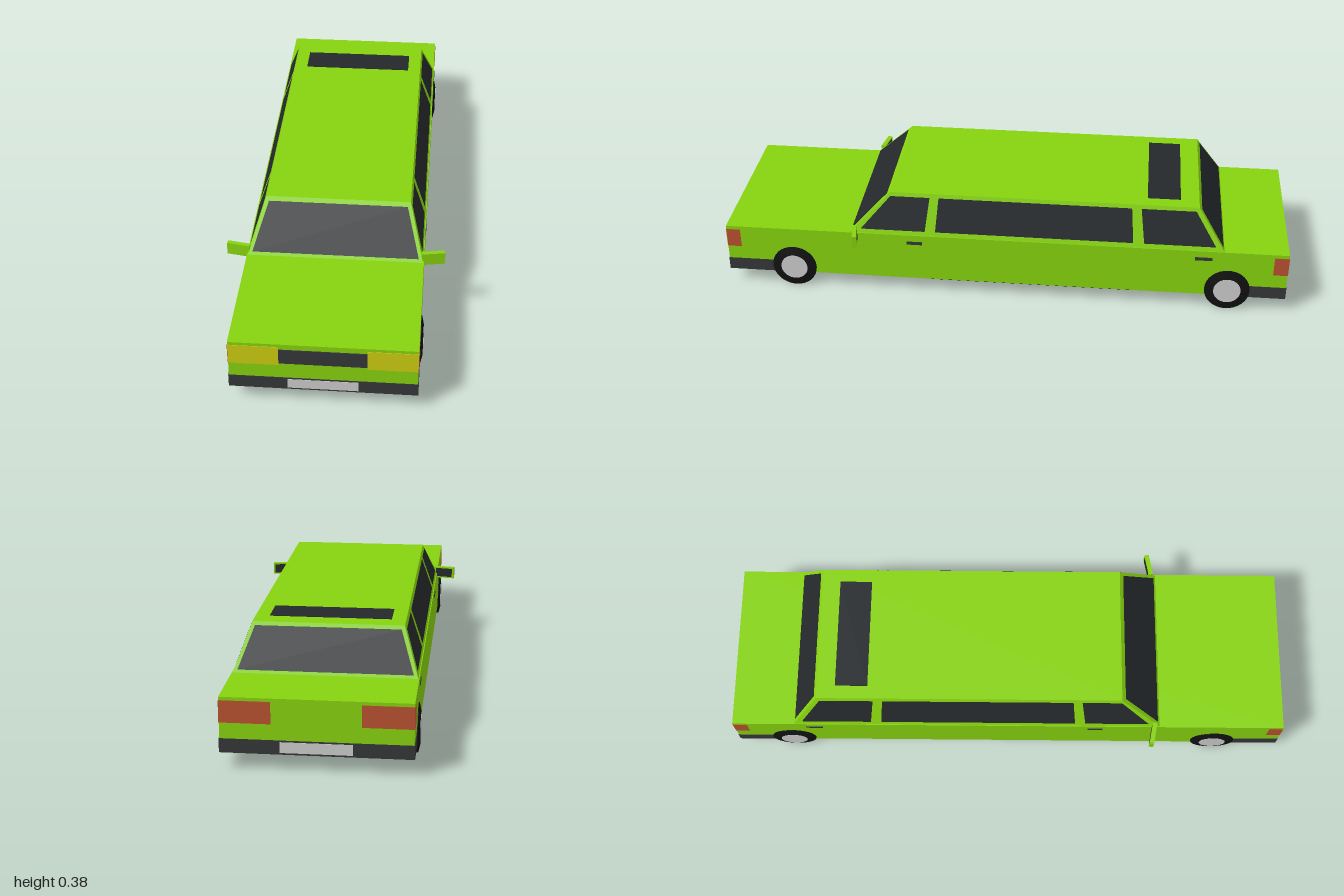
import * as THREE from 'three';

const mat = (color, side = THREE.FrontSide) =>
  new THREE.MeshStandardMaterial({ color, side, flatShading: true });
const PAINT = mat(0x86d20e);
const GLASS = mat(0x24282b, THREE.DoubleSide);
const TRIM = mat(0x343638);
const RUBBER = mat(0x111111);
const METAL = mat(0xbcbcbc);
const YELLOW = mat(0xcccc10);
const RED = mat(0xb8502f);

// Cabin: base and roof outlines, joined by sloping sides
const BASE = { y: 0.235, x: 0.297, front: 0.55, back: -0.775 };
const ROOF = { y: 0.38, x: 0.247, front: 0.405, back: -0.68 };
const GAP = 0.0015;
const along = (key, y) =>
  THREE.MathUtils.mapLinear(y, BASE.y, ROOF.y, BASE[key], ROOF[key]);

function add(parent, name, geometry, material) {
  const mesh = new THREE.Mesh(geometry, material);
  mesh.name = name;
  parent.add(mesh);
  return mesh;
}

// Box given by its lower and upper limits
function block(parent, name, material, [x0, x1], [y0, y1], [z0, z1]) {
  const mesh = add(parent, name, new THREE.BoxGeometry(x1 - x0, y1 - y0, z1 - z0), material);
  mesh.position.set((x0 + x1) / 2, (y0 + y1) / 2, (z0 + z1) / 2);
  return mesh;
}

// Flat faces from lists of four corners, anticlockwise seen from outside
function quads(faces) {
  const points = [];
  for (const [a, b, c, d] of faces) points.push(...a, ...b, ...c, ...a, ...c, ...d);
  const geometry = new THREE.BufferGeometry();
  geometry.setAttribute('position', new THREE.Float32BufferAttribute(points, 3));
  geometry.computeVertexNormals();
  return geometry;
}

function addCabin(car) {
  const ring = (o) => [[-o.x, o.y, o.front], [o.x, o.y, o.front], [o.x, o.y, o.back], [-o.x, o.y, o.back]];
  const low = ring(BASE), high = ring(ROOF);
  const faces = low.map((p, i) => [p, low[(i + 1) % 4], high[(i + 1) % 4], high[i]]);
  add(car, 'cabin', quads([...faces, high]), PAINT);

  // Windscreen and rear window
  const screen = (name, key, dir) => {
    const corner = (side, y, inset) =>
      [side * (along('x', y) - inset), y + GAP, along(key, y) + dir * GAP];
    add(car, name, quads([[corner(-dir, 0.243, 0.012), corner(dir, 0.243, 0.012),
      corner(dir, 0.368, 0.014), corner(-dir, 0.368, 0.014)]]), GLASS);
  };
  screen('windscreen', 'front', 1);
  screen('rearWindow', 'back', -1);

  // Side windows: z at bottom front, bottom back, top back, top front
  const windows = {
    frontSideWindow: [0.51, 0.28, 0.265, 0.405],
    middleSideWindow: [0.243, -0.457, -0.447, 0.233],
    rearSideWindow: [-0.495, -0.745, -0.67, -0.48],
  };
  for (const side of [1, -1]) {
    for (const [name, z] of Object.entries(windows)) {
      const corners = z.map((v, i) => {
        const y = i < 2 ? 0.25 : 0.367;
        return [side * (along('x', y) + GAP), y, v];
      });
      if (side < 0) corners.reverse();
      add(car, name, quads([corners]), GLASS);
    }
  }
  block(car, 'sunroof', GLASS, [-0.2, 0.2], [0.37, ROOF.y + GAP], [-0.615, -0.5]);
}

// Bumper, plate and lamps of one end; dir is +1 for the front
function addEnd(car, dir, lampMaterial, bumperDepth) {
  const end = new THREE.Group();
  end.name = dir > 0 ? 'frontEnd' : 'rearEnd';
  const span = (a, b) => (dir > 0 ? [a, b] : [-b, -a]);
  const skin = span(0.99, 1 + GAP);
  block(end, 'bumper', TRIM, [-0.302, 0.302], [0.054, 0.1], span(1 - bumperDepth, 1 + GAP));
  block(end, 'numberPlate', METAL, [-0.113, 0.113], [0.06, 0.095], span(0.99, 1 + 2 * GAP));
  for (const side of [1, -1]) {
    const across = (a, b) => (side > 0 ? [a, b] : [-b, -a]);
    block(end, 'lamp', lampMaterial, across(0.14, 0.3), [0.152, 0.224], skin);
    block(end, 'sideLamp', RED, across(0.29, 0.3 + GAP), [0.152, 0.222], span(0.95, 1));
  }
  car.add(end);
}

// Wheel lying along x with its outer face towards +x
function makeWheel() {
  const wheel = new THREE.Group();
  wheel.name = 'wheel';
  const profile = [[0, -0.036], [0.05, -0.036], [0.08, -0.03], [0.08, 0.03], [0.05, 0.037], [0, 0.037]]
    .map(([r, h]) => new THREE.Vector2(r, h));
  const tyre = add(wheel, 'tyre', new THREE.LatheGeometry(profile, 32), RUBBER);
  const hub = add(wheel, 'hub', new THREE.CylinderGeometry(0.048, 0.048, 0.076, 32), METAL);
  tyre.rotation.z = hub.rotation.z = -Math.PI / 2;
  return wheel;
}

export function createModel() {
  const car = new THREE.Group();
  car.name = 'stretchCar';

  block(car, 'body', PAINT, [-0.3, 0.3], [0.055, 0.235], [-1, 1]);
  block(car, 'underbodyPanel', RUBBER, [0.145, 0.299], [0.0535, 0.06], [-0.47, 0.26]);
  addCabin(car);
  addEnd(car, 1, YELLOW, 0.165);
  addEnd(car, -1, RED, 0.15);
  block(car, 'grille', TRIM, [-0.14, 0.14], [0.16, 0.215], [0.99, 1 + 2 * GAP]);

  for (const side of [1, -1]) {
    // Wheels
    for (const z of [0.76, -0.795]) {
      const wheel = makeWheel();
      wheel.position.set(side * 0.272, 0.08, z);
      if (side < 0) wheel.rotation.y = Math.PI;
      car.add(wheel);
    }
    // Door handles
    for (const [z0, z1] of [[0.29, 0.345], [-0.735, -0.675]]) {
      const x = side > 0 ? [0.295, 0.302] : [-0.302, -0.295];
      block(car, 'doorHandle', TRIM, x, [0.198, 0.21], [z0, z1]);
    }
    // Door mirrors, swept slightly back
    const mirror = add(car, 'doorMirror', new THREE.BoxGeometry(0.08, 0.044, 0.016), PAINT);
    mirror.position.set(side * 0.33, 0.24, 0.525);
    mirror.rotation.y = side * 0.18;
    const face = add(mirror, 'mirrorGlass', new THREE.PlaneGeometry(0.066, 0.034), GLASS);
    face.position.z = -0.0085;
    face.rotation.y = Math.PI;
  }
  return car;
}
